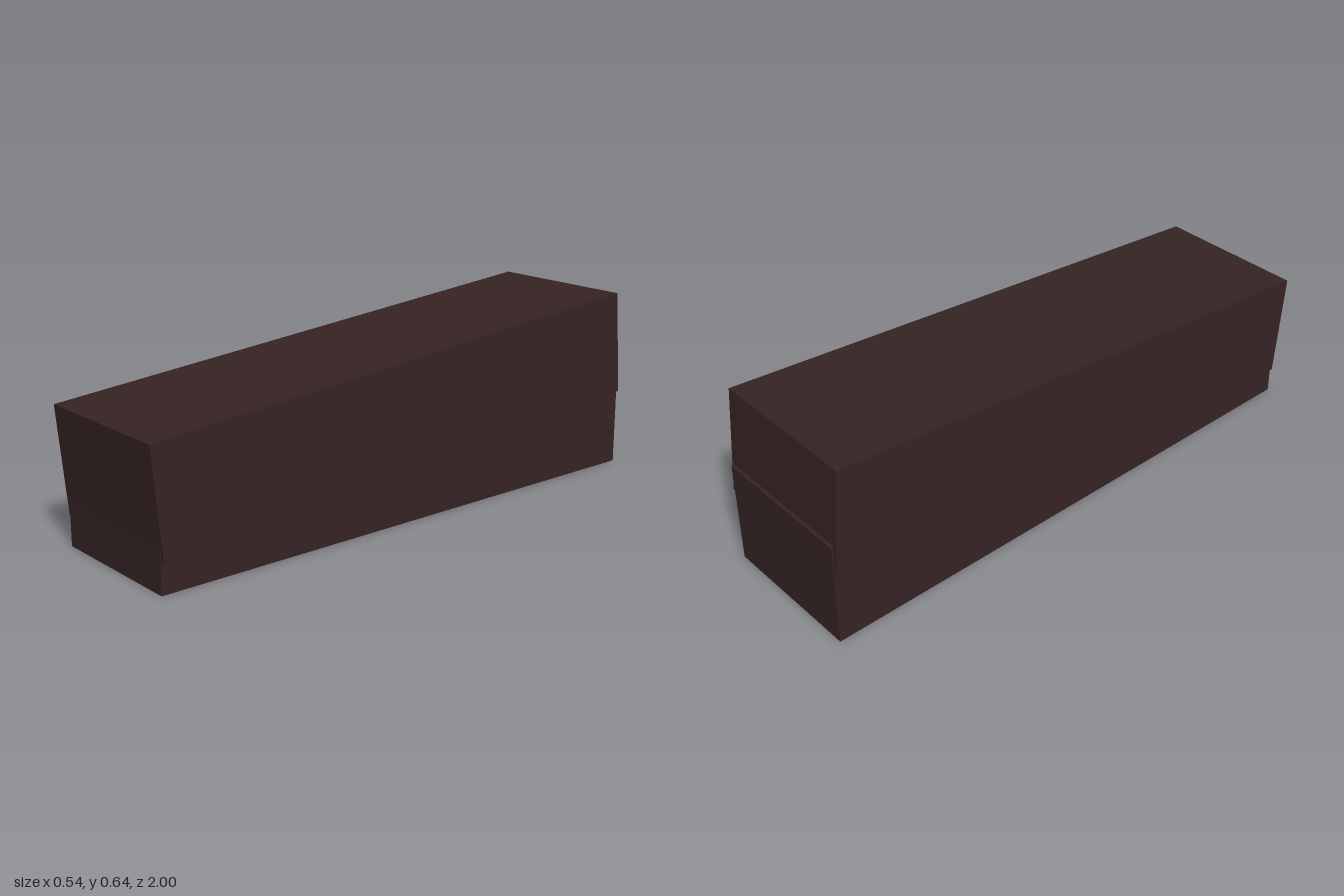
import * as THREE from 'three';

export function createModel() {
  const group = new THREE.Group();
  const darkBrown = new THREE.MeshStandardMaterial({ color: 0x362324 });
  darkBrown.name = 'darkBrown';

  function block(name, width, height, length, y, z, tilt = 0) {
    const mesh = new THREE.Mesh(new THREE.BoxGeometry(width, height, length), darkBrown);
    mesh.name = name;
    mesh.position.set(0, y, z);
    mesh.rotation.x = tilt;
    group.add(mesh);
  }

  // level lower block
  block('base', 0.519, 0.369, 1.973, 0.1845, -0.0135);
  // slightly wider upper block, raised 5 degrees at the back
  block('tiltedTop', 0.543, 0.369, 1.973, 0.3685, 0.0015, THREE.MathUtils.degToRad(5));

  return group;
}
